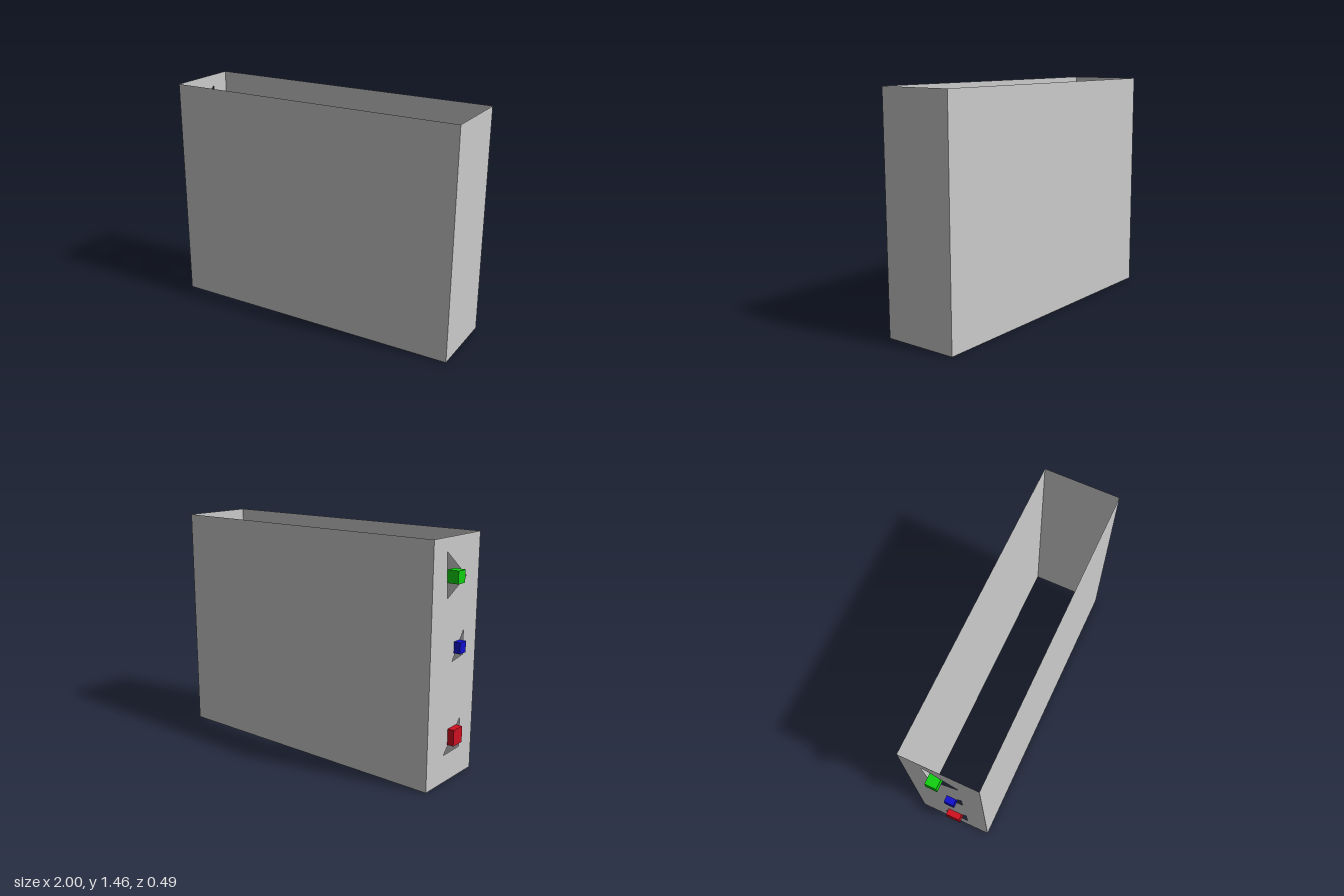
import * as THREE from 'three';

const X0 = -0.945, X1 = 1, H = 1.46, D = 0.243;

export function createModel() {
  const model = new THREE.Group();
  const sheet = new THREE.MeshStandardMaterial({ color: 0xcccccc, side: THREE.DoubleSide, flatShading: true });

  function add(name, geometry, material, x, y, z) {
    const mesh = new THREE.Mesh(geometry, material);
    mesh.name = name;
    mesh.position.set(x, y, z);
    model.add(mesh);
    return mesh;
  }

  // Thin front and back panels, open at top and bottom
  for (const [name, s] of [['frontPanel', 1], ['backPanel', -1]]) {
    add(name, new THREE.PlaneGeometry(X1 - X0, H), sheet, (X0 + X1) / 2, H / 2, s * D);
  }

  // Plain end panel
  add('plainEndPanel', new THREE.PlaneGeometry(2 * D, H).rotateY(Math.PI / 2), sheet, X1, H / 2, 0);

  // End panel with three triangular openings, drawn as (z, y)
  const points = (list) => list.map(([z, y]) => new THREE.Vector2(z, y));
  const end = new THREE.Shape(points([[-D, 0], [D, 0], [D, H], [-D, H]]));
  const openings = [
    [[-0.11, 1.383], [0.105, 1.22], [-0.087, 1.117]],
    [[0.1, 0.903], [0.1, 0.755], [-0.012, 0.737]],
    [[0.1, 0.363], [0.1, 0.18], [-0.067, 0.175]],
  ];
  for (const o of openings) end.holes.push(new THREE.Path(points(o)));
  add('openedEndPanel', new THREE.ShapeGeometry(end).rotateY(-Math.PI / 2), sheet, X0, 0, 0);

  // Coloured buttons set through the openings: name, color, size, centre
  const buttons = [
    ['greenButton', 0x10d010, [0.072, 0.075, 0.072], [-0.964, 1.238, -0.036]],
    ['blueButton', 0x1010d0, [0.062, 0.068, 0.062], [-0.955, 0.817, 0.033]],
    ['redButton', 0xd01020, [0.092, 0.1, 0.094], [-0.94, 0.28, 0.018]],
  ];
  for (const [name, color, size, centre] of buttons) {
    add(name, new THREE.BoxGeometry(...size), new THREE.MeshStandardMaterial({ color }), ...centre);
  }

  return model;
}
